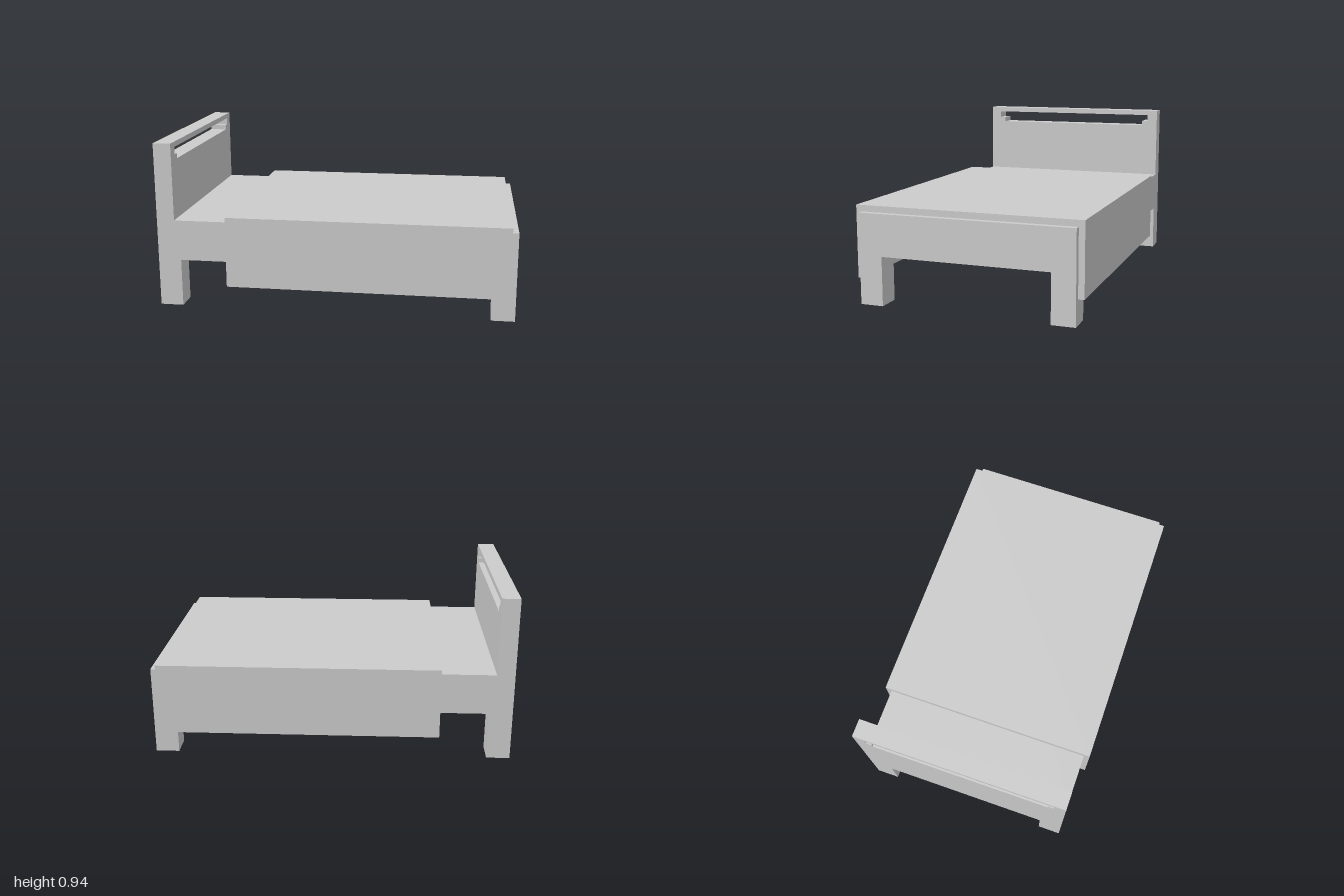
import * as THREE from 'three';

const HALF_L = 1, HALF_W = 0.6, POST = 0.13;
const RAIL_Y = 0.27, DECK_Y = 0.38, BED_Y = 0.5;
const HEAD_Y = 0.935, HEAD_T = 0.1;

const material = new THREE.MeshStandardMaterial({ color: 0xcccccc, flatShading: true });

function add(group, name, geometry) {
  const mesh = new THREE.Mesh(geometry, material);
  mesh.name = name;
  group.add(mesh);
}

// Box given by its limits on each axis
function box(x0, x1, y0, y1, z0, z1) {
  return new THREE.BoxGeometry(x1 - x0, y1 - y0, z1 - z0)
    .translate((x0 + x1) / 2, (y0 + y1) / 2, (z0 + z1) / 2);
}

const points = (list) => list.map(([x, y]) => new THREE.Vector2(x, y));

const rectangle = (x0, x1, y0, y1) => points([[x0, y0], [x1, y0], [x1, y1], [x0, y1]]);

function extrude(outline, depth, hole) {
  const shape = new THREE.Shape(outline);
  if (hole) shape.holes.push(new THREE.Path(hole));
  return new THREE.ExtrudeGeometry(shape, { depth, bevelEnabled: false });
}

// Cross-section in z and y, swept along x
const sweepX = (outline, x0, x1, hole) =>
  extrude(outline, x1 - x0, hole).rotateY(Math.PI / 2).translate(x0, 0, 0);

export function createModel() {
  const bed = new THREE.Group();
  bed.name = 'bed';

  // Headboard with a stepped handle slot right through it
  const slot = points([
    [-0.5, 0.835], [0.5, 0.835], [0.5, 0.865], [0.535, 0.865],
    [0.535, 0.905], [-0.535, 0.905], [-0.535, 0.865], [-0.5, 0.865],
  ]);
  add(bed, 'headboard', sweepX(
    rectangle(-HALF_W, HALF_W, RAIL_Y, HEAD_Y), -HALF_L, -HALF_L + HEAD_T, slot));

  // Rails around the recessed underside
  const inX = HALF_L - POST, inZ = HALF_W - POST;
  add(bed, 'railFrame', extrude(
    rectangle(-HALF_L + HEAD_T, HALF_L, -HALF_W, HALF_W), DECK_Y - RAIL_Y,
    rectangle(-inX, inX, -inZ, inZ)).rotateX(-Math.PI / 2).translate(0, RAIL_Y, 0));

  // Solid bed base on the rails
  add(bed, 'bedBase', box(-HALF_L + HEAD_T, HALF_L, DECK_Y, BED_Y, -HALF_W, HALF_W));

  // Four square legs, flush with the corners
  for (const sx of [-1, 1]) {
    for (const sz of [-1, 1]) {
      const leg = box(-POST / 2, POST / 2, 0, RAIL_Y, -POST / 2, POST / 2)
        .translate(sx * (HALF_L - POST / 2), 0, sz * (HALF_W - POST / 2));
      add(bed, (sx < 0 ? 'head' : 'foot') + (sz < 0 ? 'BackLeg' : 'FrontLeg'), leg);
    }
  }

  // Blanket draped over both long sides, open at the ends
  const outer = 0.633, top = 0.535, hem = 0.135;
  add(bed, 'blanket', sweepX(points([
    [-outer, hem], [-HALF_W, hem], [-HALF_W, BED_Y], [HALF_W, BED_Y],
    [HALF_W, hem], [outer, hem], [outer, top], [-outer, top],
  ]), -0.6, 0.965));

  return bed;
}
